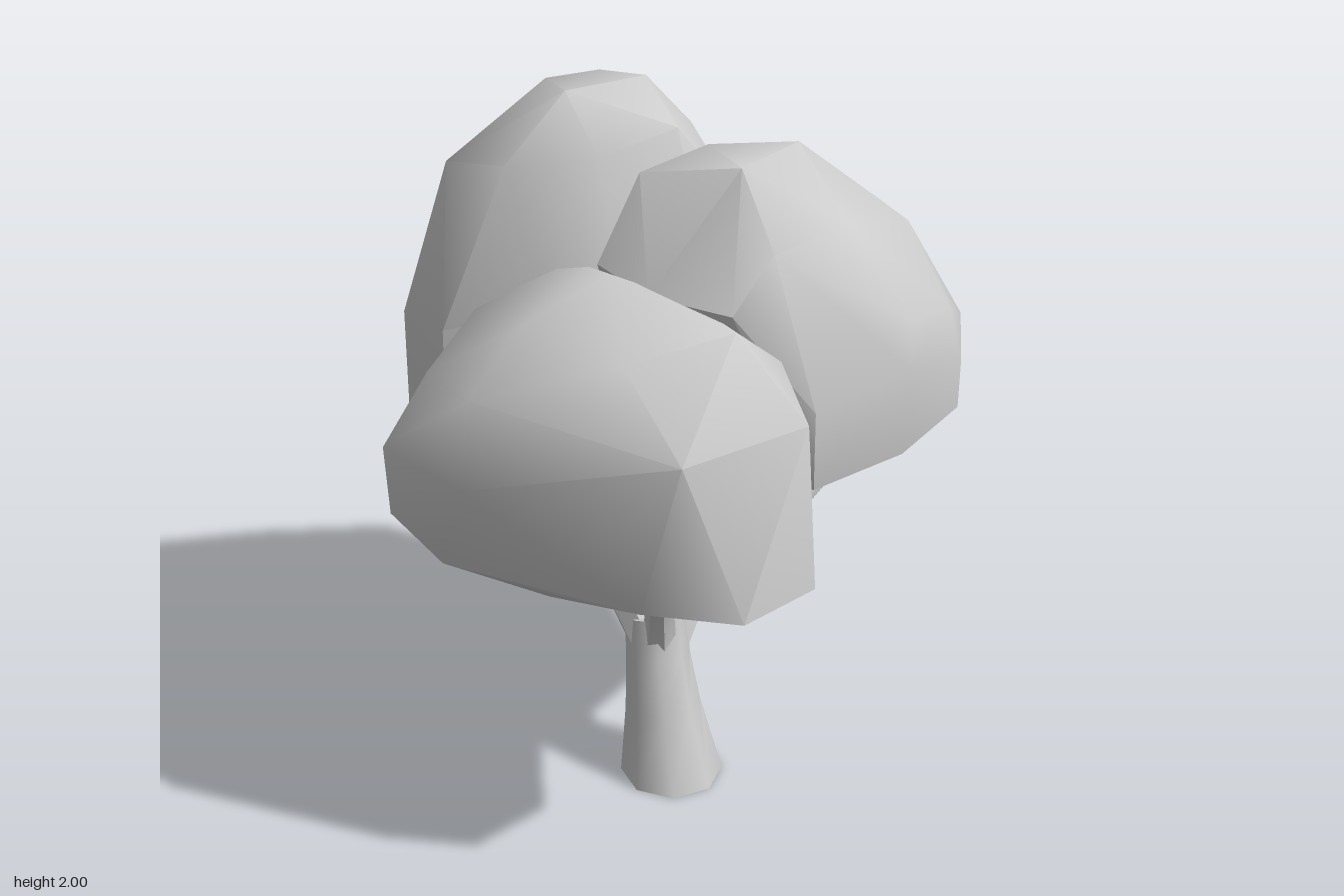
import * as THREE from 'three';
import { toCreasedNormals } from 'three/addons/utils/BufferGeometryUtils.js';
import { ConvexGeometry } from 'three/addons/geometries/ConvexGeometry.js';

const grey = new THREE.MeshStandardMaterial({ color: 0xcccccc });
grey.name = 'pale grey';

// Leaf mass: the convex skin around a few corner points
function crown(name, corners) {
  const hull = new ConvexGeometry(corners.map((c) => new THREE.Vector3(...c)));
  const mesh = new THREE.Mesh(toCreasedNormals(hull, 0.8), grey);
  mesh.name = name;
  return mesh;
}

// Tapered limb: a cylinder whose rows follow path stations [x, y, z, radius]
function limb(name, path, sides = 7) {
  const n = path.length - 1;
  const geo = new THREE.CylinderGeometry(1, 1, 1, sides, n);
  const centres = path.map((p) => new THREE.Vector3(p[0], p[1], p[2]));
  const up = new THREE.Vector3(0, 1, 0);
  const turns = centres.map((c, i) => {
    const dir = centres[Math.min(i + 1, n)].clone().sub(centres[Math.max(i - 1, 0)]).normalize();
    if (i === 0 && c.y < 0.1) dir.copy(up); // level foot
    return new THREE.Quaternion().setFromUnitVectors(up, dir);
  });
  const pos = geo.attributes.position;
  const v = new THREE.Vector3();
  for (let i = 0; i < pos.count; i++) {
    v.fromBufferAttribute(pos, i);
    const row = Math.round((v.y + 0.5) * n);
    v.y = 0;
    v.multiplyScalar(path[row][3]).applyQuaternion(turns[row]).add(centres[row]);
    pos.setXYZ(i, v.x, v.y, v.z);
  }
  const mesh = new THREE.Mesh(toCreasedNormals(geo, 0.8), grey);
  mesh.name = name;
  return mesh;
}

export function createModel() {
  const tree = new THREE.Group();
  tree.name = 'tree';

  // Trunk and its branches
  tree.add(
    limb('trunk', [[0.155, 0, 0.105, 0.15], [0.12, 0.22, 0.105, 0.11], [0.09, 0.38, 0.095, 0.093],
      [0.07, 0.5, 0.08, 0.09]], 8),
    limb('backBranch', [[0.09, 0.34, 0.09, 0.07], [0.065, 0.46, 0.015, 0.09], [0.06, 0.55, -0.09, 0.085],
      [0.12, 0.65, -0.15, 0.072], [0.26, 0.78, -0.155, 0.06], [0.33, 0.88, -0.15, 0.055], [0.36, 1.02, -0.15, 0.055]]),
    limb('backFork', [[0.22, 0.75, -0.15, 0.06], [0.28, 0.82, -0.25, 0.055], [0.27, 0.86, -0.4, 0.05],
      [0.25, 0.96, -0.48, 0.05], [0.24, 1.12, -0.56, 0.05]]),
    limb('rightBranch', [[0.06, 0.48, -0.03, 0.075], [0.02, 0.59, -0.11, 0.08], [-0.09, 0.71, -0.14, 0.065],
      [-0.24, 0.92, -0.14, 0.055]]),
    limb('frontRightBranch', [[0.08, 0.38, 0.1, 0.06], [0.01, 0.54, 0.135, 0.056], [-0.08, 0.7, 0.21, 0.04],
      [-0.17, 0.92, 0.31, 0.035]], 6),
    limb('frontLeftBranch', [[0.1, 0.38, 0.1, 0.055], [0.14, 0.56, 0.14, 0.042], [0.24, 0.74, 0.25, 0.034],
      [0.33, 0.92, 0.33, 0.032]], 6),
  );

  // Tall crown on the right side
  tree.add(crown('rightCrown', [
    [-0.24, 2, 0.1], [-0.22, 1.98, -0.19], [-0.47, 1.95, -0.05], [-0.37, 1.97, -0.16], [0, 1.91, -0.08],
    [-0.65, 1.81, -0.08], [-0.28, 1.83, 0.29], [-0.26, 1.78, -0.42], [-0.57, 1.76, 0.24], [-0.08, 1.86, 0.14],
    [-0.69, 1.62, 0.15], [-0.77, 1.45, -0.09], [0.08, 1.5, -0.1], [-0.34, 1.4, 0.48], [-0.62, 1.34, 0.38],
    [-0.08, 1.5, 0.32], [0.03, 1.55, 0.17], [-0.47, 1.74, -0.36], [-0.64, 1.55, -0.32], [-0.05, 1.55, -0.43],
    [-0.24, 1.35, -0.68], [-0.5, 1.35, -0.6], [-0.04, 1.28, -0.56], [-0.75, 1.15, 0.18],
    [-0.74, 1.04, 0.18], [-0.74, 1.07, -0.12], [-0.6, 0.98, 0.4], [-0.35, 1.03, 0.48], [-0.04, 1, 0.26],
    [-0.5, 1.1, -0.6], [-0.6, 1.03, -0.38], [-0.24, 1.08, -0.66], [0.01, 1, -0.53], [0.05, 1.02, -0.3],
    [-0.31, 0.77, -0.13], [-0.2, 0.8, 0],
  ]));

  // Pointed crown at the back
  tree.add(crown('backCrown', [
    [0.09, 1.88, -0.1], [0.31, 1.9, 0.02], [0.25, 1.88, -0.28], [0.03, 1.84, 0.1],
    [0.49, 1.74, 0.1], [0.46, 1.6, 0.22], [0.22, 1.6, 0.27], [0.01, 1.62, 0.24],
    [0.53, 1.76, -0.15], [0.69, 1.52, -0.22], [0.3, 1.64, -0.59], [0.02, 1.64, -0.5], [-0.12, 1.54, -0.42],
    [0.46, 1.65, -0.5], [0.67, 1.48, -0.42], [0.02, 1.78, -0.3], [0.73, 1.4, -0.18], [0.69, 1.32, -0.46],
    [0.53, 1.34, -0.68], [0.3, 1.3, -0.84], [0.03, 1.32, -0.77], [-0.12, 1.3, -0.5], [0.64, 1.35, 0.1],
    [0.62, 1.11, 0.07], [0.7, 1.14, -0.2], [0.69, 1.18, -0.46], [0.59, 1.15, -0.59], [0.5, 1.18, -0.66],
    [0.3, 0.97, -0.1], [0.38, 1, -0.37], [0.2, 1.1, -0.71], [0, 1.1, -0.55], [0, 1.11, 0.08],
  ]));

  // Broad crown at the front
  tree.add(crown('frontCrown', [
    [0.15, 1.66, 0.33], [0.04, 1.64, 0.3], [-0.08, 1.6, 0.3], [0.54, 1.61, 0.3], [0.1, 1.59, 0.6],
    [0.4, 1.56, 0.55], [-0.28, 1.47, 0.4], [0.58, 1.5, 0.17], [0.2, 1.5, 0.05], [-0.08, 1.45, 0.09],
    [-0.2, 1.23, 0.82], [0.12, 1.23, 0.84], [0.1, 1.45, 0.78], [-0.15, 1.42, 0.7], [0.73, 1.4, 0.24],
    [0.64, 1.39, 0.6], [0.75, 0.95, 0.49], [0.77, 0.95, 0.24], [-0.43, 1.19, 0.52], [-0.37, 1.33, 0.4],
    [-0.34, 0.93, 0.52], [-0.4, 1.08, 0.25], [-0.2, 1.03, 0.81], [0, 0.96, 0.81], [0.27, 0.92, 0.69],
    [0.54, 0.96, 0.64], [0.15, 0.79, 0.28], [0.6, 0.88, 0.25], [0.3, 0.87, 0], [0.45, 0.98, -0.08],
    [-0.12, 0.9, 0.12], [0.62, 1.22, 0.09],
  ]));

  return tree;
}
